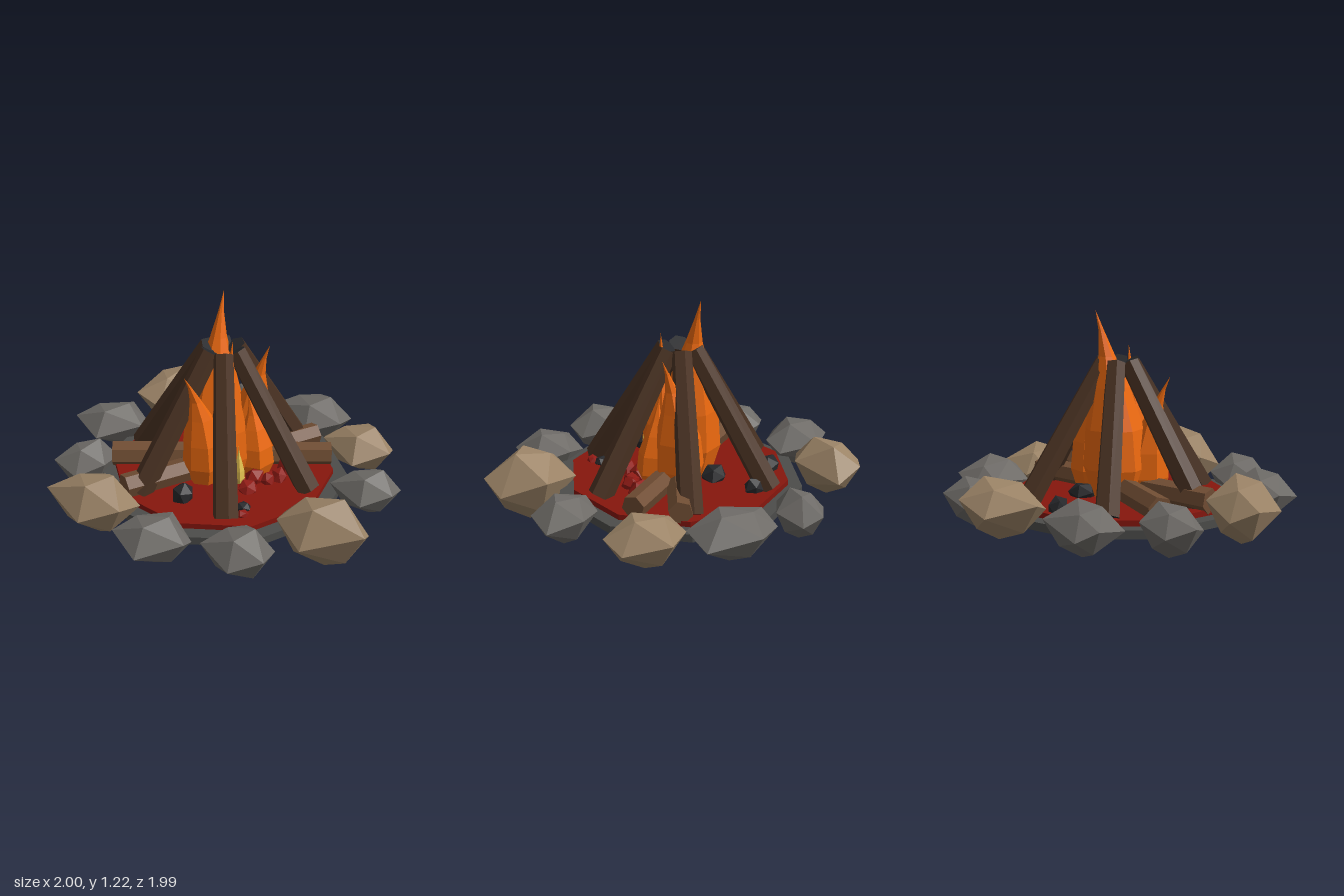
import * as THREE from 'three';
import { ConvexGeometry } from 'three/addons/geometries/ConvexGeometry.js';

const mat = (color) => new THREE.MeshStandardMaterial({ color, flatShading: true });
const V = (x, y, z) => new THREE.Vector3(x, y, z);
const soften = (v) => Math.sign(v) * Math.abs(v) ** 0.75;

export function createModel() {
  const root = new THREE.Group();
  root.name = 'campfire';
  const tan = mat(0x9c8467), grey = mat(0x6e6b67), ash = mat(0x4c4c4a), red = mat(0x87160d);
  const bark = mat(0x4b3323), wood = mat(0x704d33), char = mat(0x26272a);
  const orange = mat(0xec690f), yellow = mat(0xe2c050), ember = mat(0x8f1a14);

  const add = (name, geo, material, parent = root) => {
    const m = new THREE.Mesh(geo, material);
    m.name = name;
    parent.add(m);
    return m;
  };
  const group = (name) => {
    const g = new THREE.Group();
    g.name = name;
    root.add(g);
    return g;
  };

  // Fire pit floor: two ten-sided discs
  add('ashBed', new THREE.CylinderGeometry(0.7, 0.7, 0.045, 10), ash).position.set(0, 0.152, 0.01);
  add('emberBed', new THREE.CylinderGeometry(0.62, 0.62, 0.077, 10), red).position.set(0, 0.1665, 0.01);

  // Ring stones: faceted hulls of a six-point waist, a sloping crown and a keel
  const ring = group('stoneRing');
  const stone = (material, x, z, halfX, halfZ, skew, y0, y1) => {
    const at = (th, s, t) => V(
      x + halfX * s * soften(Math.cos(th)),
      y0 + (y1 - y0) * t,
      z + halfZ * s * 1.05 * soften(Math.sin(th + skew)),
    );
    const pts = [at(0, 0.1, 0)];
    for (let i = 0; i < 6; i++) {
      const th = i * Math.PI / 3 + 0.18 * Math.sin(i * 2.4 + x * 9);
      pts.push(at(th, 1, i % 2 ? 0.68 : 0.5));
      pts.push(i % 2 ? at(th, 0.6, 0.2) : at(th, 0.45, 1 - 0.03 * i));
    }
    add('stone', new ConvexGeometry(pts), material, ring);
  };
  stone(tan, -0.12, -0.81, 0.24, 0.18, -0.2, 0.1, 0.42);
  stone(grey, 0.34, -0.71, 0.165, 0.14, -0.2, 0.05, 0.32);
  stone(grey, 0.66, -0.41, 0.225, 0.205, 0.35, 0.06, 0.34);
  stone(tan, 0.81, 0, 0.19, 0.195, 0.1, 0.05, 0.34);
  stone(grey, 0.69, 0.46, 0.19, 0.145, 0.15, 0.07, 0.34);
  stone(tan, 0.335, 0.765, 0.225, 0.21, 0.3, 0, 0.42);
  stone(grey, -0.115, 0.81, 0.185, 0.17, 0.25, 0.04, 0.33);
  stone(grey, -0.52, 0.605, 0.195, 0.175, 0.1, 0.05, 0.34);
  stone(tan, -0.765, 0.245, 0.235, 0.2, 0.4, 0.04, 0.4);
  stone(grey, -0.745, -0.215, 0.185, 0.135, -0.1, 0.05, 0.33);
  stone(grey, -0.535, -0.595, 0.215, 0.175, 0.1, 0.07, 0.35);

  // Hexagonal log from its thick end a to its thin end b
  const log = (name, a, b, ra, rb, material, parent) => {
    const d = b.clone().sub(a);
    const m = add(name, new THREE.CylinderGeometry(rb, ra, d.length(), 6), material, parent);
    m.position.copy(a).add(b).multiplyScalar(0.5);
    m.quaternion.setFromUnitVectors(V(0, 1, 0), d.normalize());
  };

  // Leaning logs with charred ends
  const tepee = group('leaningLogs');
  for (let k = 0; k < 6; k++) {
    const a = THREE.MathUtils.degToRad(60 * k - 18), c = Math.cos(a), s = Math.sin(a);
    log('leaningLog', V(c * 0.53, 0.2, s * 0.53), V(c * 0.08, 0.935, s * 0.08), 0.07, 0.055, [bark, char, char], tepee);
  }

  // Lying logs crossing on the ember bed
  const lying = group('lyingLogs');
  log('lyingLog', V(-0.6, 0.26, -0.17), V(0.6, 0.26, 0.12), 0.07, 0.066, wood, lying);
  log('lyingLog', V(-0.59, 0.25, 0.17), V(0.59, 0.25, -0.13), 0.07, 0.066, wood, lying);

  // Flames: faceted bulbs whose axis bends towards the tip
  const flames = group('flames');
  const profile = [[0, 0], [0.72, 0], [1, 0.17], [0.9, 0.38], [0.56, 0.6], [0.26, 0.76], [0.09, 0.89], [0, 1]];
  const flame = (x, z, r, tip, sides, material) => {
    const geo = new THREE.LatheGeometry(profile.map(([a, b]) => new THREE.Vector2(a * r, b)), sides);
    const p = geo.attributes.position;
    for (let i = 0; i < p.count; i++) {
      const t = p.getY(i), k = t ** 3;
      p.setXYZ(
        i,
        p.getX(i) + x + (tip.x - x) * k,
        0.19 + (tip.y - 0.19) * t,
        p.getZ(i) + z + (tip.z - z) * k,
      );
    }
    geo.computeVertexNormals();
    add('flame', geo, material, flames);
  };
  flame(-0.04, -0.04, 0.18, V(0.035, 1.22, -0.12), 8, orange);
  flame(-0.13, 0.11, 0.12, V(-0.25, 0.87, 0.17), 7, orange);
  flame(0.17, -0.03, 0.14, V(0.25, 0.94, 0.04), 7, orange);
  flame(0, 0.1, 0.12, V(0.03, 1.02, 0.1), 7, orange);
  flame(0.16, 0.1, 0.11, V(0.12, 0.68, 0.09), 6, orange);
  flame(0.04, 0.2, 0.035, V(0.04, 0.43, 0.2), 5, yellow);

  // Coals and glowing embers scattered on the bed
  const lumps = group('coalsAndEmbers');
  const lump = (name, material, x, z, r) => {
    const m = add(name, new THREE.IcosahedronGeometry(r, 0), material, lumps);
    m.position.set(x, 0.205 + r * 0.15, z);
    m.rotation.set(x * 9, z * 13, x * 5);
    m.scale.set(1.05, 0.8, 0.95);
  };
  lump('coal', char, -0.13, -0.48, 0.075);
  lump('coal', char, 0.15, -0.45, 0.07);
  lump('coal', char, -0.29, 0.28, 0.08);
  lump('coal', char, 0, 0.46, 0.042);
  lump('coal', char, -0.24, -0.03, 0.06);
  lump('coal', char, 0.05, -0.2, 0.08);
  lump('ember', ember, -0.02, 0.52, 0.035);
  for (let i = 0; i < 5; i++) {
    lump('ember', ember, 0.07 + i * 0.065, 0.25 + 0.04 * Math.cos(i * 2.5) - i * 0.015, 0.06 + 0.01 * Math.sin(i * 2));
  }

  return root;
}
